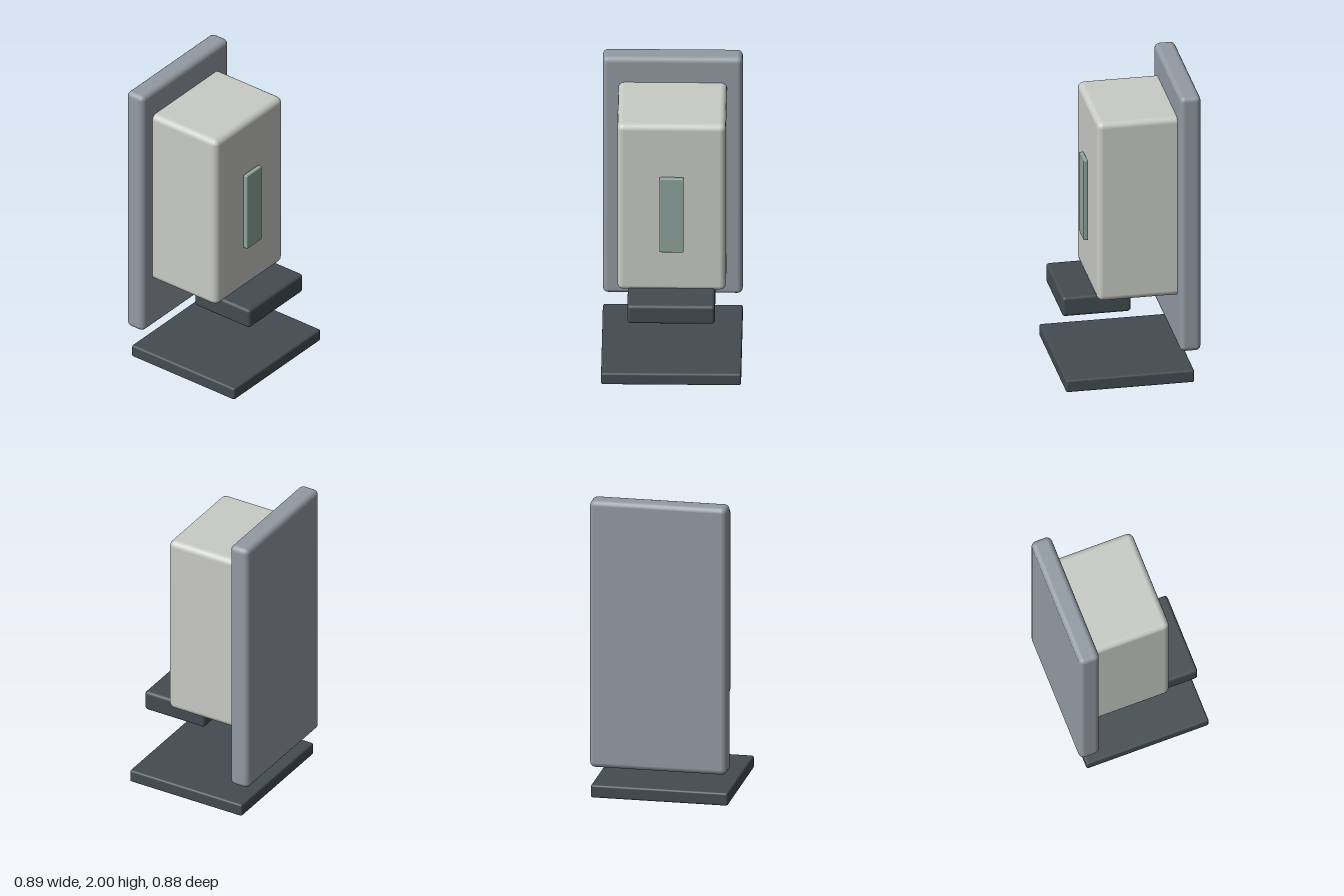
import * as THREE from 'three';
import { RoundedBoxGeometry } from 'three/addons/geometries/RoundedBoxGeometry.js';

// Rounded block given by its extents: half width, y range, z range
function block(name, color, halfWidth, [y0, y1], [z0, z1], radius) {
  const geometry = new RoundedBoxGeometry(2 * halfWidth, y1 - y0, z1 - z0, 2, radius);
  const mesh = new THREE.Mesh(geometry, new THREE.MeshStandardMaterial({ color }));
  mesh.name = name;
  mesh.position.set(0, (y0 + y1) / 2, (z0 + z1) / 2);
  return mesh;
}

export function createModel() {
  const group = new THREE.Group();
  group.name = 'wallDispenser';
  const dark = 0x434c51;

  group.add(
    // Upright mounting panel at the back
    block('backPanel', 0x929aa3, 0.447, [0.214, 2], [-0.44, -0.303], 0.035),
    // Main housing, its back edge sunk into the panel
    block('housing', 0xc9cbc6, 0.347, [0.568, 1.82], [-0.35, 0.215], 0.04),
    // Level window standing just off the housing front
    block('levelWindow', 0x8fa49c, 0.077, [0.887, 1.442], [0.223, 0.254], 0.006),
    // Outlet under the housing
    block('outlet', dark, 0.279, [0.455, 0.59], [-0.015, 0.43], 0.02),
    // Drip tray on the ground
    block('dripTray', dark, 0.447, [0, 0.085], [-0.395, 0.44], 0.013),
  );
  return group;
}
